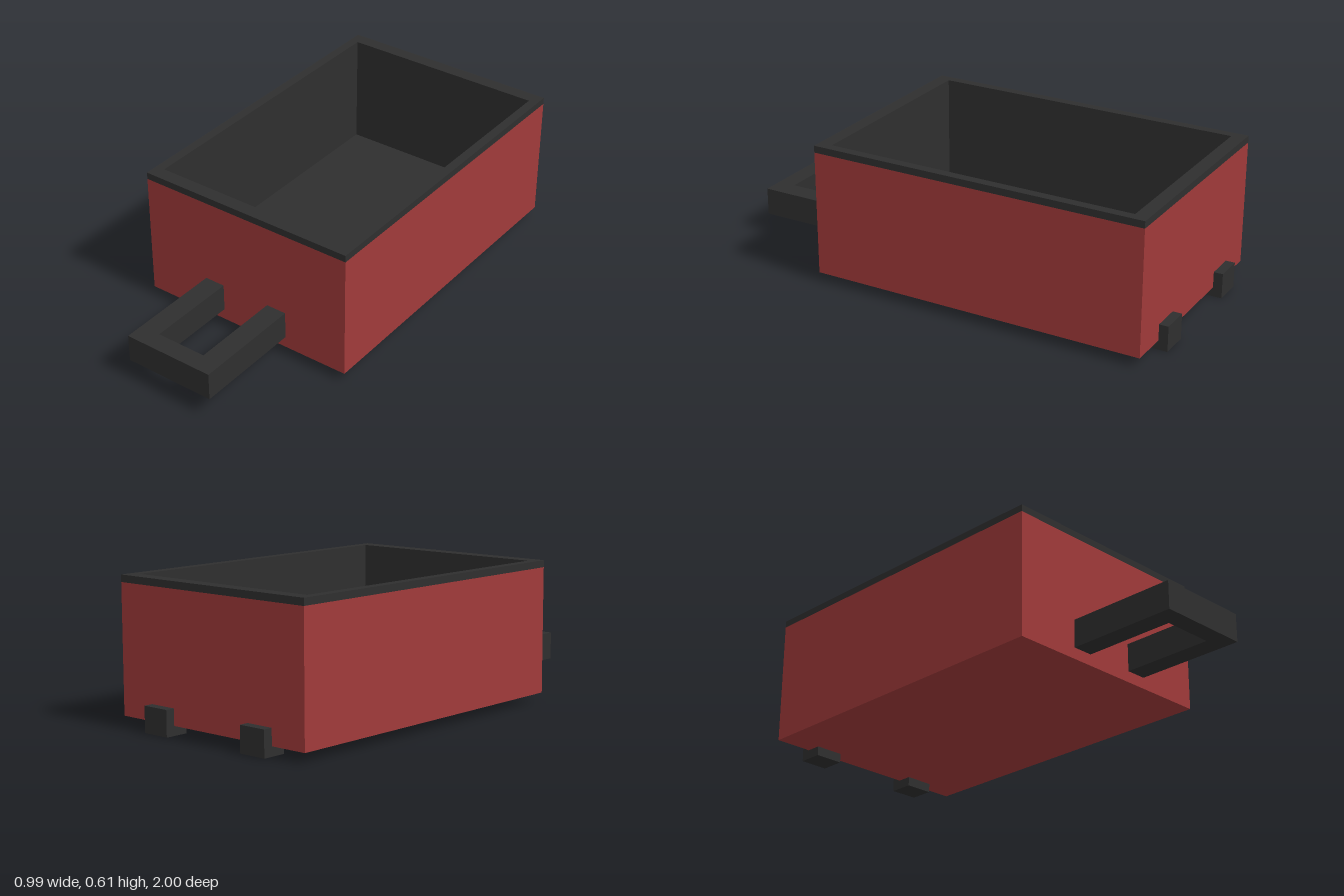
import * as THREE from 'three';

const red = new THREE.MeshStandardMaterial({ color: 0xa03a3a });
red.name = 'red paint';
const dark = new THREE.MeshStandardMaterial({ color: 0x2f2f2f });
dark.name = 'dark steel';

// Box given by its minimum and maximum corners
function box(name, material, [x0, y0, z0], [x1, y1, z1]) {
  const mesh = new THREE.Mesh(new THREE.BoxGeometry(x1 - x0, y1 - y0, z1 - z0), material);
  mesh.position.set((x0 + x1) / 2, (y0 + y1) / 2, (z0 + z1) / 2);
  mesh.name = name;
  return mesh;
}

const rect = (w, d) => [[-w, -d], [w, -d], [w, d], [-w, d]].map(([x, y]) => new THREE.Vector2(x, y));

// Rectangular frame standing between y0 and y1, sizes are half extents
function frame(name, material, outer, inner, y0, y1, z) {
  const shape = new THREE.Shape(rect(...outer));
  shape.holes.push(new THREE.Path(rect(...inner).reverse()));
  const geometry = new THREE.ExtrudeGeometry(shape, { depth: y1 - y0, bevelEnabled: false });
  geometry.rotateX(-Math.PI / 2);
  const mesh = new THREE.Mesh(geometry, material);
  mesh.position.set(0, y0, z);
  mesh.name = name;
  return mesh;
}

export function createModel() {
  const model = new THREE.Group();
  model.name = 'openBucket';

  const back = -0.96, front = 0.52, mid = (back + front) / 2;
  const bottom = 0.04, floor = 0.115, rimBase = 0.58, top = 0.61;
  const outer = [0.495, (front - back) / 2];
  const lining = [0.463, 0.688];
  const inner = [0.455, 0.68];

  // Painted tub
  model.add(box('base', red, [-outer[0], bottom, back], [outer[0], floor - 0.008, front]));
  model.add(frame('walls', red, outer, lining, floor - 0.008, rimBase, mid));

  // Dark lining, floor and rim
  model.add(frame('lining', dark, lining, inner, floor - 0.008, rimBase, mid));
  model.add(box('floor', dark, [-inner[0], floor - 0.008, mid - inner[1]], [inner[0], floor, mid + inner[1]]));
  model.add(frame('rim', dark, outer, inner, rimBase, top, mid));

  // U-shaped front handle
  const u = [[-0.203, 0.52], [-0.203, 1], [0.203, 1], [0.203, 0.52], [0.112, 0.52], [0.112, 0.92], [-0.112, 0.92], [-0.112, 0.52]];
  const handleShape = new THREE.Shape(u.map(([x, z]) => new THREE.Vector2(x, -z)));
  const handleGeometry = new THREE.ExtrudeGeometry(handleShape, { depth: 0.12, bevelEnabled: false });
  handleGeometry.rotateX(-Math.PI / 2);
  const handle = new THREE.Mesh(handleGeometry, dark);
  handle.position.y = 0.089;
  handle.name = 'handle';
  model.add(handle);

  // Rear feet wrapping the bottom edge
  for (const side of [-1, 1]) {
    const x = side * 0.265;
    model.add(box(side > 0 ? 'leftFoot' : 'rightFoot', dark, [x - 0.063, 0, -1], [x + 0.063, 0.11, -0.895]));
  }
  return model;
}
